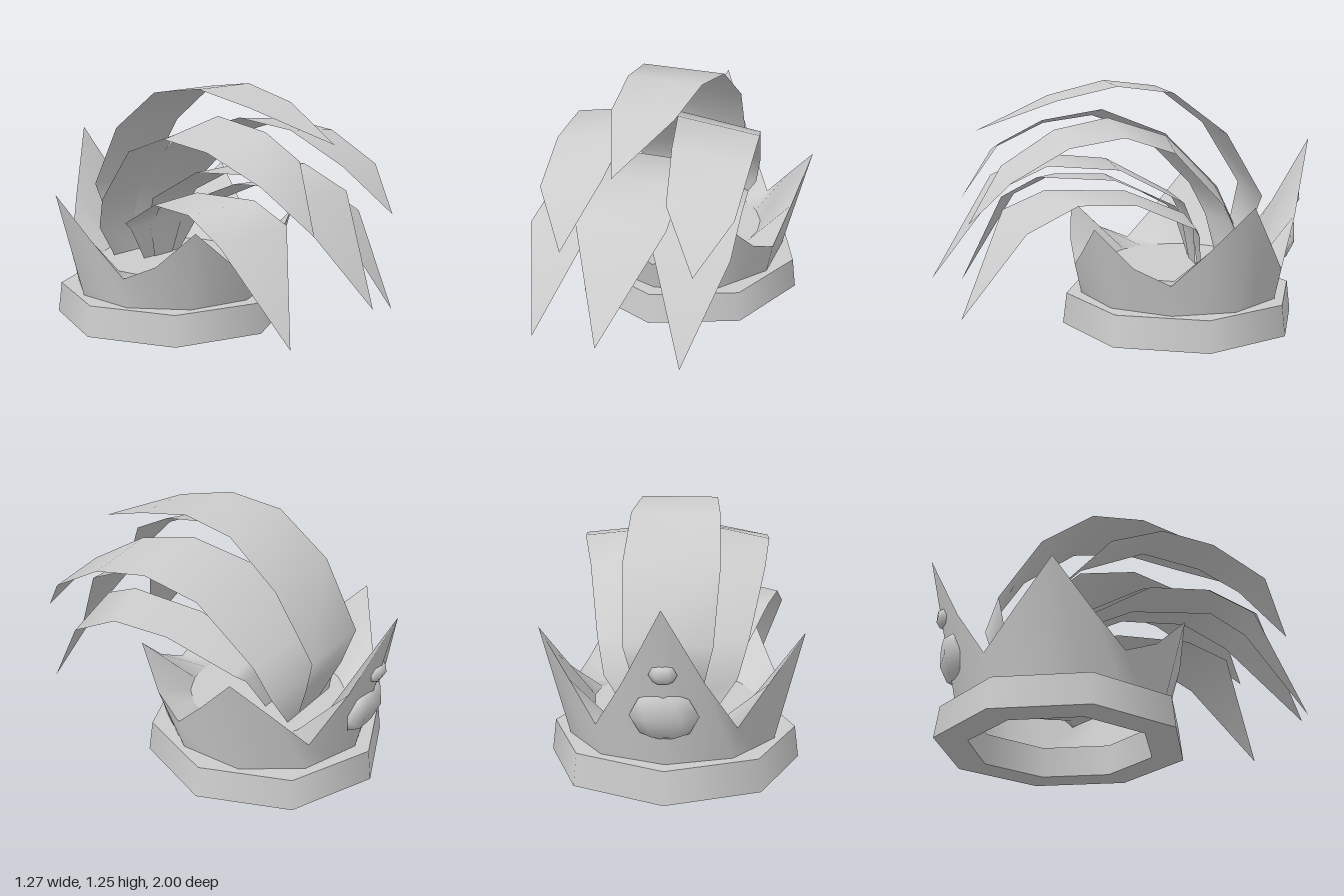
import * as THREE from 'three';

const CZ = -0.3; // centre of the crown along z

export function createModel() {
  const model = new THREE.Group();
  const grey = new THREE.MeshStandardMaterial({ color: 0xcccccc, side: THREE.DoubleSide });
  grey.name = 'light grey';

  const add = (name, geometry, parent = model) => {
    const mesh = new THREE.Mesh(geometry, grey);
    mesh.name = name;
    parent.add(mesh);
    return mesh;
  };

  const indexed = (positions, indices) => {
    const g = new THREE.BufferGeometry();
    g.setAttribute('position', new THREE.Float32BufferAttribute(positions, 3));
    g.setIndex(indices);
    g.computeVertexNormals();
    return g;
  };

  // Eight-sided base band, hollow in the middle
  const band = new THREE.Group();
  band.name = 'baseBand';
  band.position.z = CZ;
  model.add(band);
  add('bandOuter', new THREE.CylinderGeometry(0.605, 0.625, 0.16, 8, 1, true), band).position.y = 0.08;
  const inner = new THREE.CylinderGeometry(0.46, 0.46, 0.16, 8, 1, true);
  inner.scale(-1, 1, 1); // the mirror turns the wall inwards
  const normals = inner.attributes.normal;
  for (let i = 0; i < normals.count; i++) normals.setXYZ(i, -normals.getX(i), 0, -normals.getZ(i));
  add('bandInner', inner, band).position.y = 0.08;
  add('bandTop', new THREE.RingGeometry(0.46, 0.605, 8).rotateX(-Math.PI / 2), band).position.y = 0.16;
  add('bandBottom', new THREE.RingGeometry(0.46, 0.625, 8).rotateX(Math.PI / 2), band);

  // Five-pointed flaring crown: [radius, height] of the rim from the back round to the front
  const half = [
    [0.7, 0.94], [0.6, 0.57], [0.56, 0.32], [0.58, 0.5], [0.667, 0.71],
    [0.58, 0.49], [0.56, 0.32], [0.585, 0.4], [0.643, 0.58], [0.585, 0.41], [0.56, 0.315],
  ];
  const n = 20;
  // Surface between two rings, each given by a function from index to [radius, height]
  const loft = (lower, upper) => {
    const pos = [], idx = [];
    for (let i = 0; i < n; i++) {
      const a = (i / n) * Math.PI * 2;
      for (const [r, y] of [lower(i), upper(i)]) pos.push(r * Math.sin(a), y, CZ - r * Math.cos(a));
      const b = 2 * i, c = 2 * ((i + 1) % n);
      idx.push(b, b + 1, c + 1, b, c + 1, c);
    }
    return indexed(pos, idx);
  };
  const rim = (i) => half[i <= 10 ? i : n - i];
  const foot = (i) => [i % 2 ? 0.527 * Math.cos(Math.PI / 10) : 0.527, 0.16];
  add('crownWall', loft(foot, rim));

  // Inner faces of the points, sloping down to a floor
  add('crownLining', loft(rim, () => [0.4, 0.3]));
  const floor = add('crownFloor', new THREE.CircleGeometry(0.4, n).rotateX(-Math.PI / 2));
  floor.position.set(0, 0.3, CZ);

  // Gems on the back point
  const gem = (name, y, z, size) => {
    const mesh = add(name, new THREE.SphereGeometry(1, 6, 4));
    mesh.position.set(0, y, z);
    mesh.scale.set(...size);
    mesh.rotation.x = -0.22;
  };
  gem('largeGem', 0.41, -0.86, [0.16, 0.13, 0.06]);
  gem('smallGem', 0.625, -0.92, [0.065, 0.05, 0.035]);

  // Plume: a thin strip from root to tip, rows of [x1, y1, z1, x2, y2, z2] with x1 < x2
  const plume = (name, rows) => {
    const t = [];
    for (let i = 1; i < rows.length; i++) {
      const a = 2 * i - 2;
      t.push(a, a + 2, a + 1);
      if (i < rows.length - 1) t.push(a + 1, a + 2, a + 3);
    }
    add(name, indexed(rows.flat(), t));
  };
  // Level plume, rows of [z, y, half width]
  const level = (name, rows) => plume(name, rows.map(([z, y, w]) => [-w, y, z, w, y, z]));

  level('topPlume', [
    [-0.55, 0.3, 0.1], [-0.63, 0.5, 0.17], [-0.68, 0.68, 0.21], [-0.48, 1.01, 0.232], [-0.21, 1.215, 0.218],
    [0.07, 1.25, 0.192], [0.37, 1.18, 0.16], [0.755, 1.025, 0],
  ]);
  level('lowerMiddlePlume', [
    [-0.37, 0.3, 0.07], [-0.34, 0.52, 0.13], [-0.28, 0.65, 0.17], [0.06, 0.835, 0.2],
    [0.42, 0.87, 0.215], [0.67, 0.76, 0.23], [0.995, 0.275, 0],
  ]);
  plume('upperRightPlume', [
    [-0.2, 0.3, -0.55, 0, 0.3, -0.55], [-0.32, 0.48, -0.53, 0.02, 0.5, -0.59],
    [-0.37, 0.65, -0.45, 0, 0.7, -0.5], [-0.44, 0.945, -0.17, -0.04, 0.98, -0.23],
    [-0.458, 1.035, 0.09, -0.08, 1.11, 0.1], [-0.45, 1.0, 0.36, -0.085, 1.06, 0.41],
    [-0.41, 0.87, 0.65, -0.1, 0.945, 0.63], [-0.24, 0.64, 0.825, -0.24, 0.64, 0.825],
  ]);
  plume('upperLeftPlume', [
    [0, 0.3, -0.55, 0.2, 0.3, -0.55], [-0.04, 0.5, -0.59, 0.32, 0.48, -0.53],
    [-0.05, 0.7, -0.5, 0.36, 0.65, -0.45], [-0.03, 0.97, -0.23, 0.43, 0.945, -0.17],
    [0.08, 1.085, 0.1, 0.495, 1.038, 0.09], [0.15, 1.04, 0.38, 0.53, 1.0, 0.36],
    [0.22, 0.88, 0.65, 0.54, 0.85, 0.63], [0.41, 0.635, 0.825, 0.41, 0.635, 0.825],
  ]);
  plume('lowerRightPlume', [
    [-0.14, 0.3, -0.38, -0.06, 0.3, -0.38], [-0.27, 0.49, -0.34, -0.09, 0.5, -0.35],
    [-0.34, 0.54, -0.31, -0.1, 0.58, -0.3], [-0.46, 0.705, 0.02, -0.15, 0.72, 0.02],
    [-0.51, 0.705, 0.3, -0.19, 0.745, 0.43], [-0.54, 0.595, 0.52, -0.18, 0.65, 0.62],
    [-0.41, 0.145, 0.83, -0.41, 0.145, 0.83],
  ]);
  plume('lowerLeftPlume', [
    [0.06, 0.3, -0.38, 0.14, 0.3, -0.38], [0.08, 0.5, -0.35, 0.26, 0.49, -0.34],
    [0.09, 0.58, -0.3, 0.32, 0.54, -0.31], [0.14, 0.72, 0.02, 0.43, 0.7, 0.02],
    [0.17, 0.745, 0.43, 0.48, 0.72, 0.31], [0.145, 0.65, 0.64, 0.505, 0.6, 0.56],
    [0.365, 0.16, 0.868, 0.365, 0.16, 0.868],
  ]);

  return model;
}
